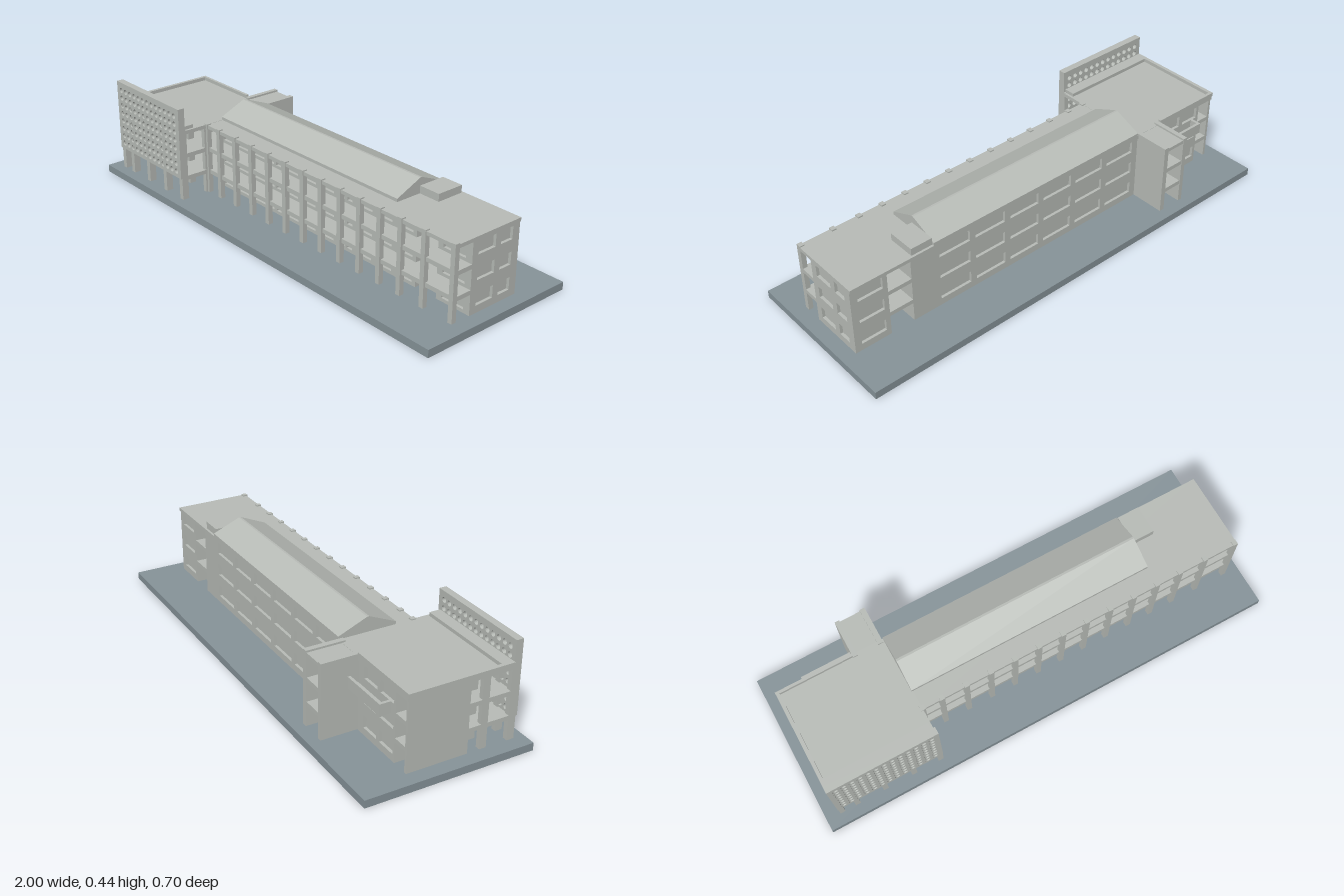
import * as THREE from 'three';

export function createModel() {
  const root = new THREE.Group();
  root.name = 'galleryBuilding';
  const concrete = new THREE.MeshStandardMaterial({ color: 0xb9bdb8 });
  concrete.name = 'pale concrete';
  const slate = new THREE.MeshStandardMaterial({ color: 0x87949a });
  slate.name = 'slate ground';

  const add = (name, geo, mat = concrete) => {
    const m = new THREE.Mesh(geo, mat);
    m.name = name;
    root.add(m);
    return m;
  };
  // Box given by its limits on each axis
  const box = (name, x0, x1, y0, y1, z0, z1, mat) => {
    const m = add(name, new THREE.BoxGeometry(x1 - x0, y1 - y0, z1 - z0), mat);
    m.position.set((x0 + x1) / 2, (y0 + y1) / 2, (z0 + z1) / 2);
    return m;
  };
  // Upright panel in the xy plane with rectangular or round holes
  const panel = (a, b, y0, y1, holes, depth) => {
    const rect = (C, x0, x1, v0, v1) => {
      const p = new C();
      p.moveTo(x0, v0);
      p.lineTo(x1, v0);
      p.lineTo(x1, v1);
      p.lineTo(x0, v1);
      p.closePath();
      return p;
    };
    const s = rect(THREE.Shape, a, b, y0, y1);
    for (const h of holes) {
      if (h.length === 4) s.holes.push(rect(THREE.Path, ...h));
      else s.holes.push(new THREE.Path().absarc(h[0], h[1], h[2], 0, Math.PI * 2, true));
    }
    return new THREE.ExtrudeGeometry(s, { depth, bevelEnabled: false, curveSegments: 8 });
  };

  const G = 0.032, TOP = 0.322;             // ground level and underside of roof
  const FRONT = 0.09, BACK = -0.15, T = 0.012;
  const LEVELS = [0, 0.102, 0.203];         // storey offsets
  const storeys = (spans, y0, y1) =>
    LEVELS.flatMap(l => spans.map(([a, b]) => [a, b, y0 + l, y1 + l]));

  box('groundSlab', -1, 1, 0, G, -0.352, 0.352, slate);

  // Floor slabs, one pair for each upper storey
  for (const [y0, y1] of [[0.117, 0.135], [0.218, 0.236]]) {
    box('mainFloor', -0.48, 0.94, y0, y1, BACK, 0.17);
    box('wingFloor', -0.94, -0.48, y0, y1, BACK, 0.285);
  }
  box('mainRoofSlab', -0.48, 0.94, TOP, 0.337, -0.155, 0.174);
  box('wingRoofSlab', -0.94, -0.48, TOP, 0.338, -0.155, 0.285);

  // Wing roof edges
  box('wingParapetSide', -0.945, -0.93, 0.336, 0.353, -0.155, 0.285);
  box('wingParapetBack', -0.93, -0.62, 0.336, 0.353, -0.155, -0.143);
  box('wingParapetFront', -0.93, -0.49, 0.337, 0.353, 0.235, 0.283);

  // Enclosed rooms: solid core with punched walls in front and behind
  const rooms = (name, x0, x1, frontSpans, backSpans) => {
    box(name + 'Core', x0, x1, G, TOP, BACK + T, FRONT - T);
    const f = add(name + 'FrontWall',
      panel(x0, x1, G, TOP, storeys(frontSpans, 0.046, 0.113), T));
    f.position.z = FRONT - T;
    const b = add(name + 'BackWall',
      panel(x0, x1, G, TOP, storeys(backSpans, 0.062, 0.113), T));
    b.position.z = BACK;
  };

  // Gallery columns set the bays
  const BAY = 0.107, bays = [];
  for (let i = 0; i < 11; i++) bays.push(0.673 - BAY * i);
  const bayWindows = bays.flatMap((x, i) => {
    const c = i === 10 ? x - 0.043 : x - BAY / 2;
    return i % 4 === 3
      ? [[c - 0.036, c - 0.008], [c + 0.006, c + 0.036]]
      : [[c - 0.037, c + 0.037]];
  });
  const backWindows = [];
  for (let i = 0; i < 6; i++) backWindows.push([0.4 - i * 0.172, 0.545 - i * 0.172]);

  rooms('mainRooms', -0.49, 0.675, bayWindows, backWindows);
  rooms('wingRooms', -0.865, -0.605, [[-0.85, -0.742], [-0.728, -0.62]],
    [[-0.852, -0.765], [-0.745, -0.66]]);
  rooms('endRooms', 0.78, 0.928, [[0.805, 0.91]], [[0.8, 0.91]]);

  // Gable ends
  const endWall = add('rightEndWall', panel(BACK, FRONT, G, TOP,
    storeys([[-0.115, -0.055], [-0.027, 0.06]], 0.062, 0.113), T));
  endWall.rotation.y = -Math.PI / 2;
  endWall.position.x = 0.94;
  box('leftEndWall', -0.94, -0.928, G, TOP, BACK, 0.105);

  // Columns along the gallery, rising just above the roof
  for (const x of [0.93, 0.79, ...bays, -0.48])
    box('galleryColumn', x - 0.01, x + 0.01, G, 0.342, 0.157, 0.178);
  // Wing frame columns
  for (const x of [-0.93, -0.862, -0.738, -0.61, -0.491]) {
    box('wingColumn', x - 0.01, x + 0.01, G, TOP, 0.157, 0.186);
    box('screenLeg', x - 0.011, x + 0.011, G, 0.34, 0.277, 0.307);
  }

  // Perforated screen in front of the wing
  const dots = [];
  for (let r = 0; r < 8; r++)
    for (let c = 0; c < 13; c++)
      dots.push([-0.911 + c * 0.0332, 0.155 + r * 0.0352, 0.0115]);
  add('perforatedScreen', panel(-0.942, -0.48, 0.128, 0.438, dots, 0.03)).position.z = 0.283;

  // Pitched roof running along the rooms
  const gable = new THREE.Shape();
  [[0.09, 0.335], [0.09, 0.35], [-0.025, 0.4], [-0.034, 0.4], [-0.155, 0.35], [-0.155, 0.335]]
    .forEach(([z, y], i) => (i ? gable.lineTo(z, y) : gable.moveTo(z, y)));
  const roof = add('pitchedRoof',
    new THREE.ExtrudeGeometry(gable, { depth: 1.055, bevelEnabled: false }));
  roof.rotation.y = -Math.PI / 2;
  roof.position.x = 0.57;
  box('roofPlantBox', 0.57, 0.665, 0.335, 0.368, -0.145, -0.025);

  // Open stair tower at the back
  for (const [x0, x1] of [[-0.62, -0.6], [-0.512, -0.49]])
    box('towerSideWall', x0, x1, G, 0.345, -0.303, BACK + 0.01);
  for (const [y0, y1] of [[0.117, 0.135], [0.218, 0.236], [TOP, 0.337]])
    box('towerFloor', -0.602, -0.51, y0, y1, -0.3, BACK + 0.002);

  // Rear balcony with a low surrounding wall
  box('balconyFloor', -0.832, -0.62, 0.218, 0.23, -0.195, BACK + 0.002);
  box('balconyFront', -0.832, -0.62, 0.23, 0.265, -0.195, -0.183);
  box('balconySide', -0.832, -0.82, 0.23, 0.265, -0.183, BACK + 0.002);

  return root;
}
